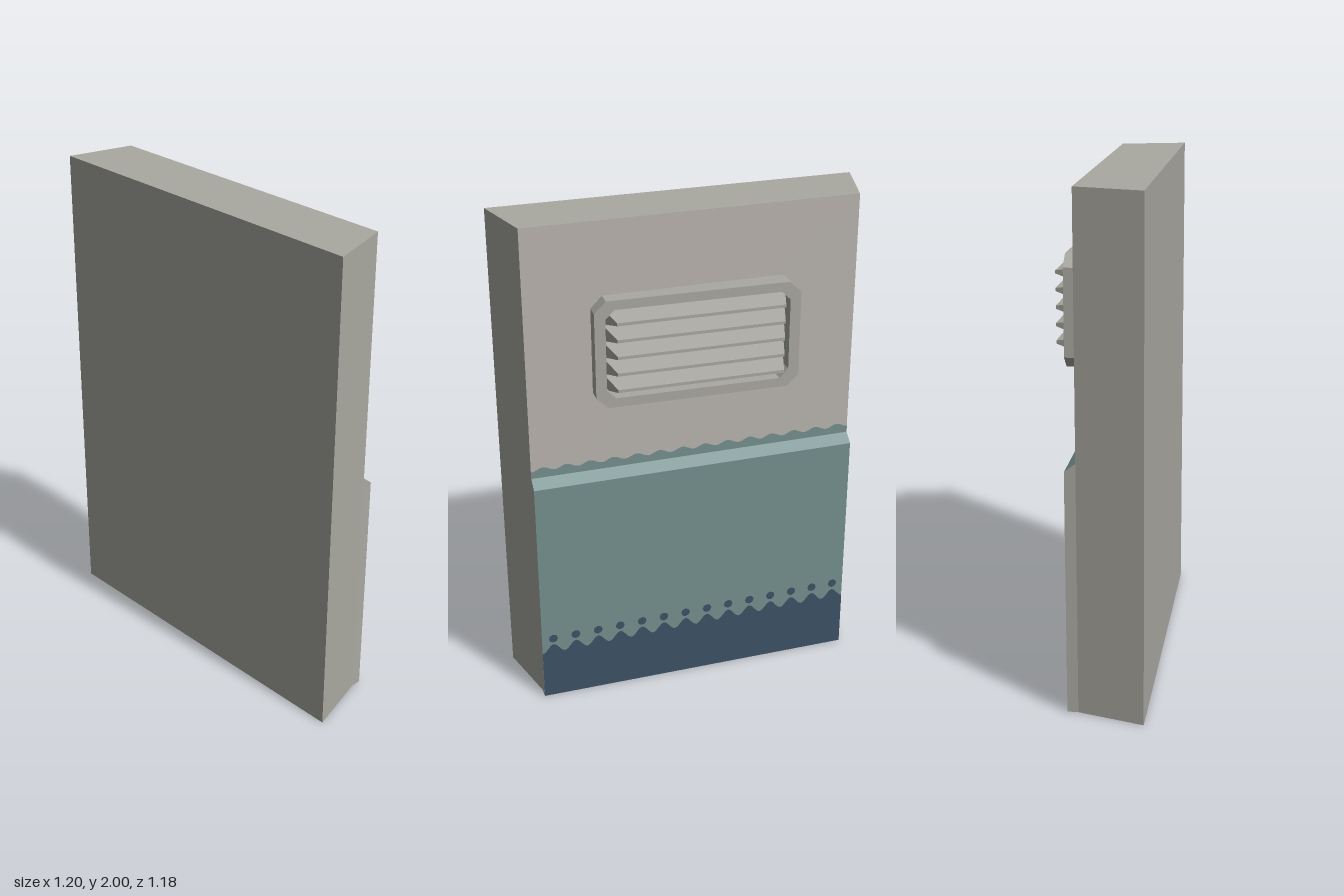
import * as THREE from 'three';

const flat = (name, color, extra = {}) => {
  const m = new THREE.MeshStandardMaterial({ color, ...extra });
  m.name = name;
  return m;
};

export function createModel() {
  const concrete = flat('concrete grey', 0xaaa9a1);
  const plaster = flat('plaster', 0xbab5af);
  const teal = flat('teal paint', 0x759190);
  const navy = flat('navy paint', 0x3d5366);

  const model = new THREE.Group();
  model.name = 'wallSection';
  // Local frame: +z points out of the painted side, x runs along the wall
  const wall = new THREE.Group();
  wall.name = 'wall';
  wall.position.set(0.0985, 0, -0.105);
  wall.rotation.y = 2.371;
  model.add(wall);

  const add = (parent, name, geometry, material) => {
    const mesh = new THREE.Mesh(geometry, material);
    mesh.name = name;
    parent.add(mesh);
    return mesh;
  };
  const polygon = (pts, Type = THREE.Shape) => new Type(pts.map(([x, y]) => new THREE.Vector2(x, y)));
  const extrude = (shape, depth) => new THREE.ExtrudeGeometry(shape, { depth, bevelEnabled: false });

  const HALF = 0.653, OUTER = 0.723, BACK = 0.259, RAIL = 0.0425;

  // Mitred slab
  const plan = polygon([[-HALF, 0], [-OUTER, BACK], [OUTER, BACK], [HALF, 0]]);
  add(wall, 'slab', extrude(plan, 2).rotateX(-Math.PI / 2), concrete);

  // Plaster on the upper part of the painted side
  const upper = polygon([[-HALF, 0.99], [HALF, 0.99], [HALF, 2], [-HALF, 2]]);
  add(wall, 'upperPlaster', new THREE.ShapeGeometry(upper).translate(0, 0, 0.001), plaster);

  // Lower panel with a sloped top edge and bare ends
  const profile = polygon([[0, 0], [0, 1], [-RAIL, 0.965], [-RAIL, 0]]);
  const panel = extrude(profile, HALF * 2).translate(0, 0, -HALF).rotateY(Math.PI / 2);
  add(wall, 'lowerPanel', panel, [concrete, teal]);

  // Painted bands with a wavy upper edge
  const TEETH = 14, STEPS = 8;
  const waveBand = (bottom, edge) => {
    const pts = [[HALF, bottom], [-HALF, bottom]].reverse();
    for (let i = TEETH * STEPS; i >= 0; i--) {
      const t = i / (TEETH * STEPS);
      pts.push([-HALF + t * 2 * HALF, edge(t, Math.cos((t * TEETH - 0.5) * Math.PI * 2))]);
    }
    return new THREE.ShapeGeometry(polygon(pts));
  };
  const lip = waveBand(0.99, (t, c) => 1.033 + 0.008 * c);
  add(wall, 'tealWaveEdge', lip.translate(0, 0, 0.003), teal);
  const skirt = waveBand(0, (t, c) => 0.228 + 0.025 * t + 0.02 * c);
  add(wall, 'navySkirt', skirt.translate(0, 0, RAIL + 0.002), navy);

  // Row of dots above the navy band
  for (let i = 0; i < TEETH; i++) {
    const t = (i + 0.5) / TEETH;
    const dot = new THREE.CircleGeometry(0.019, 8);
    dot.translate(-HALF + t * 2 * HALF, 0.275 + 0.028 * t, RAIL + 0.002);
    add(wall, 'navyDot', dot, navy);
  }

  // Vent, hung very slightly askew
  const vent = new THREE.Group();
  vent.name = 'vent';
  vent.position.set(0, 1.497, 0.004);
  vent.rotation.y = -0.027;
  wall.add(vent);

  const octagon = (w, h, c) => [
    [w - c, -h], [w, c - h], [w, h - c], [w - c, h],
    [c - w, h], [-w, h - c], [-w, c - h], [c - w, -h],
  ];
  const frame = polygon(octagon(0.4, 0.215, 0.045));
  frame.holes.push(polygon(octagon(0.358, 0.178, 0.035), THREE.Path));
  add(vent, 'ventFrame', extrude(frame, 0.078).translate(0, 0, -0.012), concrete);

  // Wedge slat: a box whose front edge narrows to a ridge with tapered ends
  const slat = new THREE.BoxGeometry(0.71, 0.06, 0.1).toNonIndexed();
  const p = slat.attributes.position;
  for (let i = 0; i < p.count; i++) {
    if (p.getZ(i) > 0) p.setXYZ(i, Math.sign(p.getX(i)) * 0.325, 0.004 + Math.sign(p.getY(i)) * 0.006, p.getZ(i));
  }
  slat.computeVertexNormals();
  for (let i = -2; i <= 2; i++) {
    add(vent, 'ventSlat', slat, concrete).position.set(0, i * 0.067, 0.06);
  }

  return model;
}
